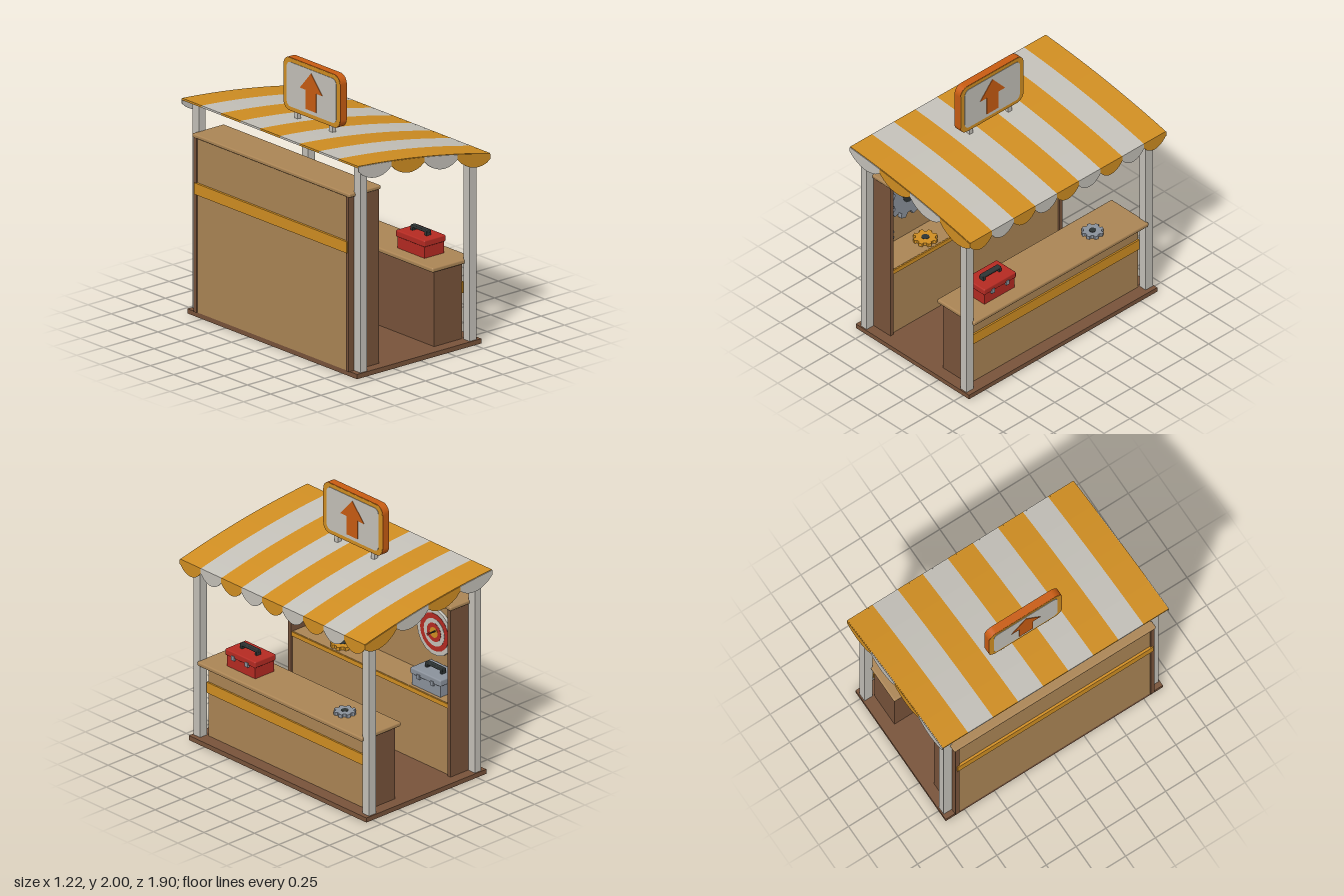
import * as THREE from 'three';
import { RoundedBoxGeometry } from 'three/addons/geometries/RoundedBoxGeometry.js';

const palette = {
  canvasWhite: 0xc4c1b9, canvasYellow: 0xd08e22, lightWood: 0xab8555, darkWood: 0x78533a,
  signOrange: 0xc85c12, paintRed: 0xb52a22, steelGrey: 0x8b929c, rubberBlack: 0x2e3434,
};
const mats = {};
for (const [name, color] of Object.entries(palette)) {
  mats[name] = new THREE.MeshStandardMaterial({ color });
  mats[name].name = name;
}

function add(parent, name, geometry, mat, x = 0, y = 0, z = 0) {
  const mesh = new THREE.Mesh(geometry, mat);
  mesh.name = name;
  mesh.position.set(x, y, z);
  parent.add(mesh);
  return mesh;
}

// Box given by its limits; a radius rounds its edges
function box(parent, name, mat, [x0, x1], [y0, y1], [z0, z1], radius = 0) {
  const size = [x1 - x0, y1 - y0, z1 - z0];
  const geo = radius ? new RoundedBoxGeometry(...size, 2, radius) : new THREE.BoxGeometry(...size);
  return add(parent, name, geo, mat, (x0 + x1) / 2, (y0 + y1) / 2, (z0 + z1) / 2);
}

const extrude = (shape, depth) =>
  new THREE.ExtrudeGeometry(shape, { depth, bevelEnabled: false, curveSegments: 6 });
const polygon = (pts) => new THREE.Shape(pts.map(([x, y]) => new THREE.Vector2(x, y)));

function roundedRect(w, h, r) {
  const s = new THREE.Shape();
  s.absarc(w / 2 - r, h / 2 - r, r, 0, Math.PI / 2);
  s.absarc(-w / 2 + r, h / 2 - r, r, Math.PI / 2, Math.PI);
  s.absarc(-w / 2 + r, -h / 2 + r, r, Math.PI, Math.PI * 1.5);
  s.absarc(w / 2 - r, -h / 2 + r, r, Math.PI * 1.5, Math.PI * 2);
  return s;
}

// Toothed wheel facing +z with a dark hub
function gear(name, mat, radius, teeth, depth) {
  const g = new THREE.Group();
  g.name = name;
  const pts = [];
  const step = (Math.PI * 2) / teeth;
  for (let i = 0; i < teeth; i++) {
    for (const [f, r] of [[-0.32, 0.8], [-0.2, 1], [0.2, 1], [0.32, 0.8]]) {
      const a = (i + 0.5 + f) * step + Math.PI / 2;
      pts.push([Math.cos(a) * r * radius, Math.sin(a) * r * radius]);
    }
  }
  add(g, 'toothedWheel', extrude(polygon(pts), depth), mat);
  const hub = new THREE.CylinderGeometry(radius * 0.33, radius * 0.33, depth + 0.006, 12);
  add(g, 'hub', hub.rotateX(Math.PI / 2), mats.rubberBlack, 0, 0, depth / 2);
  return g;
}

function toolbox(name, mat) {
  const g = new THREE.Group();
  g.name = name;
  box(g, 'boxBody', mat, [-0.09, 0.09], [0, 0.085], [-0.145, 0.145]);
  box(g, 'boxLid', mat, [-0.1, 0.1], [0.085, 0.135], [-0.155, 0.155], 0.01);
  for (const s of [-1, 1]) {
    box(g, 'latch', mats.steelGrey, [0.09, 0.106], [0.07, 0.105], [s * 0.07 - 0.015, s * 0.07 + 0.015]);
    box(g, 'handlePost', mats.rubberBlack, [-0.02, 0.02], [0.13, 0.165], [s * 0.076 - 0.01, s * 0.076 + 0.01]);
  }
  box(g, 'handleGrip', mats.rubberBlack, [-0.02, 0.02], [0.155, 0.175], [-0.088, 0.088], 0.006);
  return g;
}

// Height of the awning's top at x
function roofY(x) {
  const t = (x + 0.61) / 1.22;
  return 1.595 - 0.085 * t - 0.1 * t * t;
}
const span = (a, b, n) => Array.from({ length: n + 1 }, (_, i) => a + ((b - a) * i) / n);
const stripeMat = (i) => (i % 2 ? mats.canvasWhite : mats.canvasYellow);

function buildAwning() {
  const g = new THREE.Group();
  g.name = 'awning';
  const xs = span(-0.61, 0.61, 10);
  const sheet = polygon([
    ...xs.map((x) => [x, roofY(x) - 0.015]),
    ...xs.slice().reverse().map((x) => [x, roofY(x)]),
  ]);
  const scallop = (t) => Math.pow(Math.sin(Math.PI * t), 0.75);
  // Front scallop, drawn facing +x
  const drop = polygon([
    [-0.105, 0], ...span(0, 1, 8).map((t) => [-0.105 + 0.21 * t, -0.04 - 0.062 * scallop(t)]), [0.105, 0],
  ]);
  for (let i = 0; i < 9; i++) {
    const z = -0.945 + i * 0.21;
    add(g, 'roofStripe', extrude(sheet, 0.21), stripeMat(i), 0, 0, z);
    add(g, 'frontScallop', extrude(drop, 0.008).rotateY(Math.PI / 2), stripeMat(i), 0.602, 1.412, z + 0.105);
  }
  // Scallops along both ends
  for (let i = 0; i < 4; i++) {
    const x0 = -0.61 + i * 0.305;
    const ts = span(0, 1, 8);
    const at = (t) => x0 + 0.305 * t;
    const side = polygon([
      ...ts.map((t) => [at(t), roofY(at(t)) - 0.04 - 0.065 * scallop(t)]),
      ...ts.slice().reverse().map((t) => [at(t), roofY(at(t)) - 0.004]),
    ]);
    for (const z of [0.944, -0.95]) add(g, 'sideScallop', extrude(side, 0.006), stripeMat(i + 1), 0, 0, z);
  }
  return g;
}

function buildSign() {
  const g = new THREE.Group();
  g.name = 'arrowSign';
  const slab = (name, shape, depth, mat) =>
    add(g, name, extrude(shape, depth).translate(0, 0, -depth / 2).rotateY(Math.PI / 2), mat, 0, 0.2, 0);
  slab('signBody', roundedRect(0.61, 0.395, 0.065), 0.06, mats.signOrange);
  slab('signRim', roundedRect(0.604, 0.389, 0.062), 0.064, mats.canvasYellow);
  slab('signPanel', roundedRect(0.53, 0.33, 0.04), 0.07, mats.canvasWhite);
  const arrow = [[0, 0.14], [-0.12, 0.005], [-0.056, 0.005], [-0.056, -0.137],
    [0.056, -0.137], [0.056, 0.005], [0.12, 0.005]];
  slab('signArrow', polygon(arrow), 0.078, mats.signOrange);
  for (const s of [-1, 1]) {
    box(g, 'signLeg', mats.canvasWhite, [-0.017, 0.017], [-0.06, 0.01], [s * 0.187 - 0.017, s * 0.187 + 0.017]);
  }
  g.position.set(-0.193, 1.6025, 0);
  return g;
}

function buildTarget() {
  const g = new THREE.Group();
  g.name = 'target';
  const rings = [[0.178, 'canvasWhite'], [0.145, 'paintRed'], [0.106, 'canvasWhite'],
    [0.072, 'paintRed'], [0.04, 'canvasYellow']];
  rings.forEach(([r, m], i) => {
    const depth = 0.025 + i * 0.002;
    add(g, 'targetRing', new THREE.CylinderGeometry(r, r, depth, 18).rotateZ(Math.PI / 2), mats[m], depth / 2);
  });
  const dart = new THREE.CylinderGeometry(0.005, 0.005, 0.07, 6).rotateZ(Math.PI / 2);
  add(g, 'dartShaft', dart, mats.rubberBlack, 0.06, 0.015, -0.015);
  const flight = new THREE.ConeGeometry(0.013, 0.03, 4).rotateZ(Math.PI / 2);
  add(g, 'dartFlight', flight, mats.paintRed, 0.09, 0.015, -0.015);
  return g;
}

export function createModel() {
  const model = new THREE.Group();
  model.name = 'marketStall';
  const { canvasWhite, canvasYellow, lightWood, darkWood, signOrange, paintRed, steelGrey } = mats;

  // Floor and posts
  box(model, 'floor', darkWood, [-0.59, 0.56], [0, 0.035], [-0.91, 0.91]);
  for (const s of [-1, 1]) {
    const zr = [s * 0.866 - 0.034, s * 0.866 + 0.034];
    box(model, 'frontPost', canvasWhite, [0.46, 0.525], [0.035, 1.425], zr);
    box(model, 'backPost', canvasWhite, [-0.55, -0.49], [0.035, 1.565], zr);
  }

  // Serving counter
  box(model, 'counterBody', darkWood, [0.2, 0.455], [0.035, 0.6], [-0.82, 0.82]);
  box(model, 'counterFront', lightWood, [0.455, 0.462], [0.035, 0.6], [-0.815, 0.815]);
  box(model, 'counterStripe', canvasYellow, [0.46, 0.475], [0.372, 0.455], [-0.82, 0.82]);
  box(model, 'counterTop', lightWood, [0.165, 0.545], [0.595, 0.63], [-0.845, 0.845], 0.012);

  // Back cabinet with its shelf
  for (const s of [-1, 1]) {
    box(model, 'cabinetSide', darkWood, [-0.6, -0.32], [0.035, 1.335], [s * 0.817 - 0.015, s * 0.817 + 0.015]);
  }
  box(model, 'cabinetBack', lightWood, [-0.59, -0.57], [0.035, 1.335], [-0.805, 0.805]);
  box(model, 'cabinetTop', lightWood, [-0.605, -0.31], [1.33, 1.36], [-0.845, 0.845], 0.01);
  box(model, 'cabinetStripe', canvasYellow, [-0.608, -0.588], [0.915, 1.0], [-0.82, 0.82]);
  box(model, 'lowerCabinet', lightWood, [-0.58, -0.335], [0.035, 0.59], [-0.803, 0.803]);
  box(model, 'shelfEdge', canvasYellow, [-0.336, -0.325], [0.555, 0.588], [-0.803, 0.803]);

  // Gears on the wall: name, material, radius, teeth, y, z
  for (const [name, mat, r, teeth, y, z] of [
    ['largeWallGear', steelGrey, 0.19, 10, 0.957, 0.44],
    ['orangeWallGear', signOrange, 0.118, 9, 0.826, 0.145],
    ['smallWallGear', steelGrey, 0.083, 8, 0.68, 0.667],
  ]) {
    const wheel = gear(name, mat, r, teeth, 0.035);
    wheel.rotation.y = Math.PI / 2;
    wheel.position.set(-0.572, y, z);
    model.add(wheel);
  }
  // Gears lying flat: name, material, radius, position
  for (const [name, mat, r, x, y, z] of [
    ['counterGear', steelGrey, 0.08, 0.36, 0.629, -0.475],
    ['shelfGear', canvasYellow, 0.088, -0.43, 0.589, 0.39],
  ]) {
    const wheel = gear(name, mat, r, 8, 0.026);
    wheel.rotation.x = -Math.PI / 2;
    wheel.position.set(x, y, z);
    model.add(wheel);
  }

  // Target and toolboxes
  const target = buildTarget();
  target.position.set(-0.571, 0.945, -0.425);
  const redBox = toolbox('redToolbox', paintRed);
  redBox.position.set(0.35, 0.63, 0.503);
  const greyBox = toolbox('greyToolbox', steelGrey);
  greyBox.position.set(-0.45, 0.59, -0.54);
  model.add(target, redBox, greyBox, buildAwning(), buildSign());
  return model;
}
